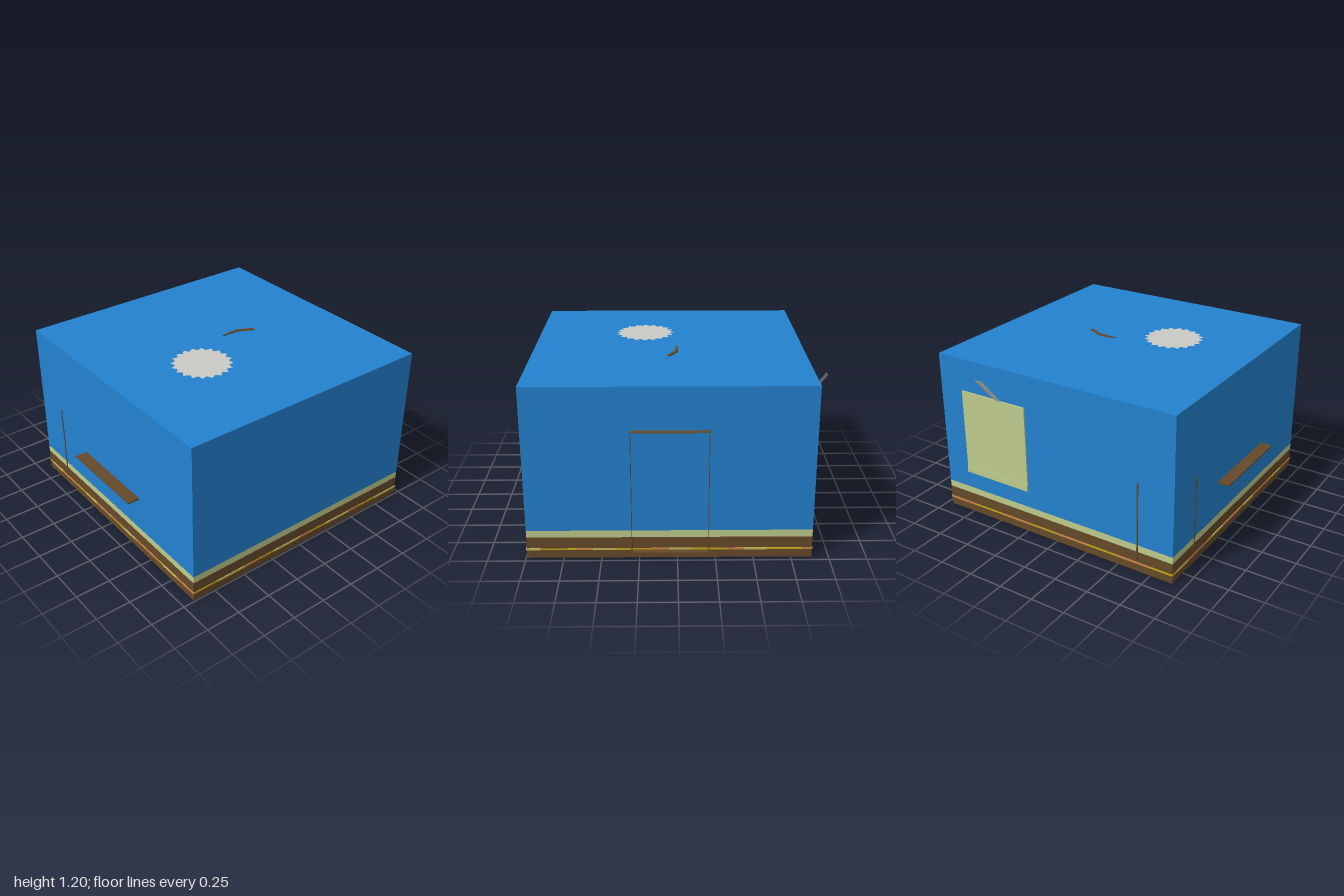
import * as THREE from 'three';

const mat = (name, color, side = THREE.FrontSide) => {
  const m = new THREE.MeshStandardMaterial({ color, side });
  m.name = name;
  return m;
};

export function createModel() {
  const root = new THREE.Group();
  root.name = 'room';

  const blue = mat('wall blue', 0x2382d0);
  const green = mat('pale green', 0xc0cc8c);
  const brown = mat('wood brown', 0x664a2a);
  const yellow = mat('tile yellow', 0xc8aa14);
  const straw = mat('tile straw', 0xc6bc5c);
  const orange = mat('tile orange', 0xcc8444);
  const red = mat('red', 0xc00808);
  const pale = mat('pale grey', 0xc9c9c5);
  const dark = mat('dark grey', 0x5a5a5a);

  // Box given by its lower and upper limits on each axis
  const box = (name, m, x0, x1, y0, y1, z0, z1, parent = root) => {
    const mesh = new THREE.Mesh(new THREE.BoxGeometry(x1 - x0, y1 - y0, z1 - z0), m);
    mesh.position.set((x0 + x1) / 2, (y0 + y1) / 2, (z0 + z1) / 2);
    mesh.name = name;
    parent.add(mesh);
    return mesh;
  };
  const group = (name) => {
    const g = new THREE.Group();
    g.name = name;
    root.add(g);
    return g;
  };

  const X0 = -0.915, X1 = 0.958, Z0 = -0.888, Z1 = 0.992, H = 1.195;

  // Walls with roof, then the two bands below, open underneath
  box('walls', blue, X0, X1, 0.2, H, Z0, Z1);
  const band = (name, m, y0, y1) => {
    const g = group(name), t = 0.004;
    box('back', m, X0, X1, y0, y1, Z0, Z0 + t, g);
    box('front', m, X0, X1, y0, y1, Z1 - t, Z1, g);
    box('rightSide', m, X0, X0 + t, y0, y1, Z0 + t, Z1 - t, g);
    box('leftSide', m, X1 - t, X1, y0, y1, Z0 + t, Z1 - t, g);
  };
  band('greenBand', green, 0.15, 0.2);
  band('baseBand', brown, 0, 0.15);

  // Floor slab whose edge shows as a thin stripe outside, with repeating patches
  const floor = group('floor');
  const e = 0.003, fx0 = X0 - e, fx1 = X1 + e, fz0 = Z0 - e, fz1 = Z1 + e;
  box('floorSlab', yellow, fx0, fx1, 0.058, 0.07, fz0, fz1, floor);
  const px = 0.486, pz = 0.497;
  // material, start and end along x and back from the front, as parts of one cell
  const patches = [
    [straw, 0.55, 1, -0.11, 0.18],
    [straw, 0.05, 0.5, 0.39, 0.68],
    [orange, 0, 0.23, -0.15, 0.25],
    [orange, 0.5, 0.73, 0.35, 0.66],
    [orange, 0.5, 1, 0.66, 0.89],
    [orange, 0, 0.5, 0.25, 0.39],
  ];
  for (let i = 0; i < 4; i++) for (let j = 0; j < 5; j++) {
    for (const [m, a0, a1, b0, b1] of patches) {
      const x0 = Math.max(fx0, fx1 + (a0 - i - 1) * px), x1 = Math.min(fx1, fx1 + (a1 - i - 1) * px);
      const z0 = Math.max(fz0, fz1 - (b1 + j) * pz), z1 = Math.min(fz1, fz1 - (b0 + j) * pz);
      if (x1 - x0 < 0.01 || z1 - z0 < 0.01) continue;
      const g = m === straw ? 0.0015 : 0.001;
      box('floorPatch', m, x0 - g, x1 + g, 0.058 - g, 0.07 + g, z0 - g, z1 + g, floor);
    }
  }

  // Mats and feet that show on the underside of the floor
  const under = group('floorUnderside');
  const plate = (name, m, x0, x1, z0, z1) => box(name, m, x0, x1, 0.053, 0.06, z0, z1, under);
  plate('redMat', red, 0.22, 0.78, -0.79, -0.66);
  plate('redMat', red, -0.29, -0.165, 0.475, 0.88);
  plate('bluePanel', blue, -0.84, -0.7, 0.07, 0.3);
  plate('bluePanel', blue, 0.83, 0.89, -0.69, -0.63);
  for (const x of [0.3, -0.065]) for (const z of [0.56, 0.885])
    plate('stoolFoot', brown, x - 0.013, x + 0.013, z - 0.013, z + 0.013);

  // Dashed rug outline
  const dashes = 22, rx0 = -0.615, rx1 = 0.64, rz0 = -0.6, rz1 = 0.67;
  for (let i = 0; i < dashes; i++) {
    const x = rx0 + (rx1 - rx0) * i / dashes, z = rz0 + (rz1 - rz0) * i / dashes;
    for (const s of [rz0, rz1]) plate('rugEdge', blue, x, x + 0.04, s - 0.004, s + 0.004);
    for (const s of [rx0, rx1]) plate('rugEdge', blue, s - 0.004, s + 0.004, z, z + 0.04);
  }

  // Door frame of thin boards standing out from the wall
  const door = group('doorFrame');
  const t = 0.003;
  for (const z of [-0.205, 0.3 - t]) box('doorPost', brown, X1, 1, 0.055, 0.905, z, z + t, door);
  for (const y of [0.055, 0.905 - t]) box('doorRail', brown, X1, 1, y, y + t, -0.205, 0.3, door);

  // Shelf on the opposite wall
  box('shelf', brown, -1, X0, 0.453, 0.464, -0.29, 0.39);

  // Thin corner slivers of a cabinet showing through two walls
  box('cabinetEdge', brown, X0 - 0.004, X0, 0.08, 0.66, -0.615, -0.605);
  box('cabinetEdge', brown, -0.655, -0.645, 0.08, 0.66, Z0 - 0.004, Z0);

  // Window panel with sill
  box('windowPanel', green, 0.23, 0.765, 0.33, 0.96, Z0 - 0.01, Z0);
  box('windowSill', green, 0.23, 0.765, 0.33, 0.38, Z0 - 0.015, Z0 - 0.01);

  // Slanted strap above the window, dark on top and pale beneath
  const strap = (name, m, order) => {
    const c = [[0.415, 0.955, -0.895], [0.475, 0.955, -0.895], [0.55, 1.13, -1], [0.485, 1.13, -1]];
    const g = new THREE.BufferGeometry();
    g.setAttribute('position', new THREE.Float32BufferAttribute(order.flatMap((i) => c[i]), 3));
    g.computeVertexNormals();
    const mesh = new THREE.Mesh(g, m);
    mesh.name = name;
    root.add(mesh);
  };
  strap('strapTop', dark, [0, 1, 2, 0, 2, 3]);
  strap('strapUnderside', pale, [0, 2, 1, 0, 3, 2]);

  // Toothed lamp disc flush with the roof
  const teeth = 20, disc = new THREE.Shape();
  for (let i = 0; i < teeth * 2; i++) {
    const a = (i / teeth) * Math.PI, r = i % 2 ? 0.182 : 0.213;
    disc[i ? 'lineTo' : 'moveTo'](Math.cos(a) * r, Math.sin(a) * r);
  }
  const lamp = new THREE.Mesh(new THREE.ShapeGeometry(disc), pale);
  lamp.name = 'ceilingLampDisc';
  lamp.rotation.x = -Math.PI / 2;
  lamp.position.set(-0.262, H + 0.002, 0.225);
  root.add(lamp);

  // Bent wooden arm lying on the roof
  const bend = new THREE.Shape([
    [0.09, -0.004], [0.15, 0.012], [0.23, 0.012], [0.335, -0.045],
    [0.33, -0.066], [0.225, -0.012], [0.15, -0.004],
  ].map(([x, y]) => new THREE.Vector2(x, y)));
  const arm = new THREE.Mesh(new THREE.ExtrudeGeometry(bend, { depth: 0.008, bevelEnabled: false }), brown);
  arm.name = 'roofArm';
  arm.rotation.x = -Math.PI / 2;
  arm.position.y = H;
  root.add(arm);

  return root;
}
